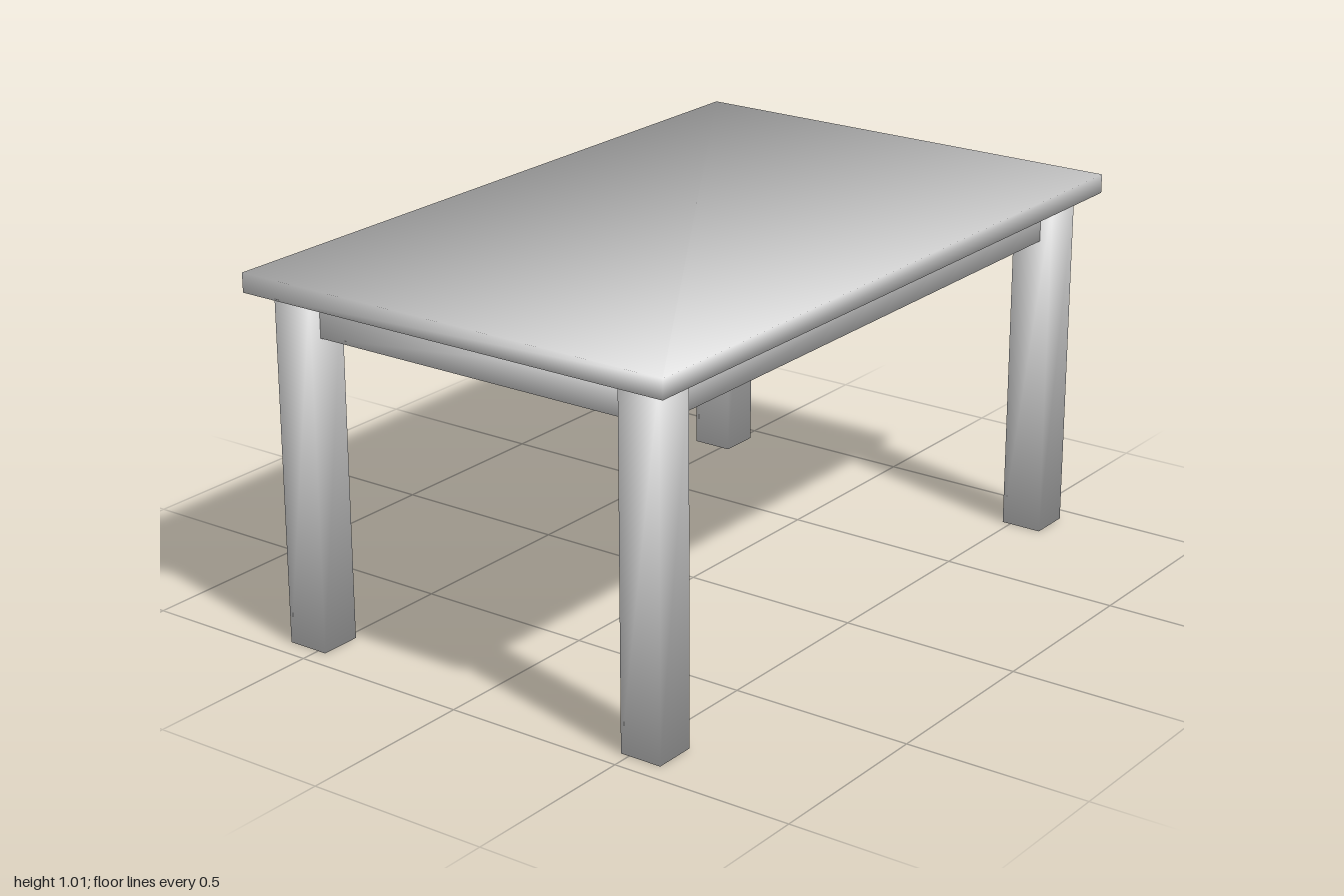
import * as THREE from 'three';

const material = new THREE.MeshStandardMaterial({ color: 0xcccccc });

// Box with its normals averaged at every corner, for soft shading
function softBox(name, [w, h, d], [x, y, z]) {
  const geometry = new THREE.BoxGeometry(w, h, d);
  const { position, normal } = geometry.attributes;
  const n = new THREE.Vector3();
  for (let i = 0; i < position.count; i++) {
    n.fromBufferAttribute(position, i);
    n.set(Math.sign(n.x), Math.sign(n.y), Math.sign(n.z)).normalize();
    normal.setXYZ(i, n.x, n.y, n.z);
  }
  const mesh = new THREE.Mesh(geometry, material);
  mesh.name = name;
  mesh.position.set(x, y, z);
  return mesh;
}

export function createModel() {
  const table = new THREE.Group();
  table.name = 'table';

  const height = 1.006, topThickness = 0.052;
  const legHeight = height - topThickness;
  const legWidth = 0.117, legX = 0.886, legZ = 0.534;
  const apronHeight = 0.11, apronThickness = 0.048;
  const apronY = legHeight - apronHeight / 2;

  // Table top
  table.add(softBox('tableTop', [2, topThickness, 1.29], [0, height - topThickness / 2, 0]));

  // Four square legs
  for (const [side, sx] of [['Left', 1], ['Right', -1]]) {
    for (const [end, sz] of [['front', 1], ['back', -1]]) {
      table.add(softBox(`${end}${side}Leg`, [legWidth, legHeight, legWidth],
        [sx * legX, legHeight / 2, sz * legZ]));
    }
  }

  // Aprons, centred on the legs and running between them
  for (const [name, s] of [['front', 1], ['back', -1]]) {
    table.add(softBox(`${name}Apron`, [2 * legX - legWidth, apronHeight, apronThickness],
      [0, apronY, s * legZ]));
  }
  for (const [name, s] of [['left', 1], ['right', -1]]) {
    table.add(softBox(`${name}Apron`, [apronThickness, apronHeight, 2 * legZ - legWidth],
      [s * legX, apronY, 0]));
  }

  return table;
}
